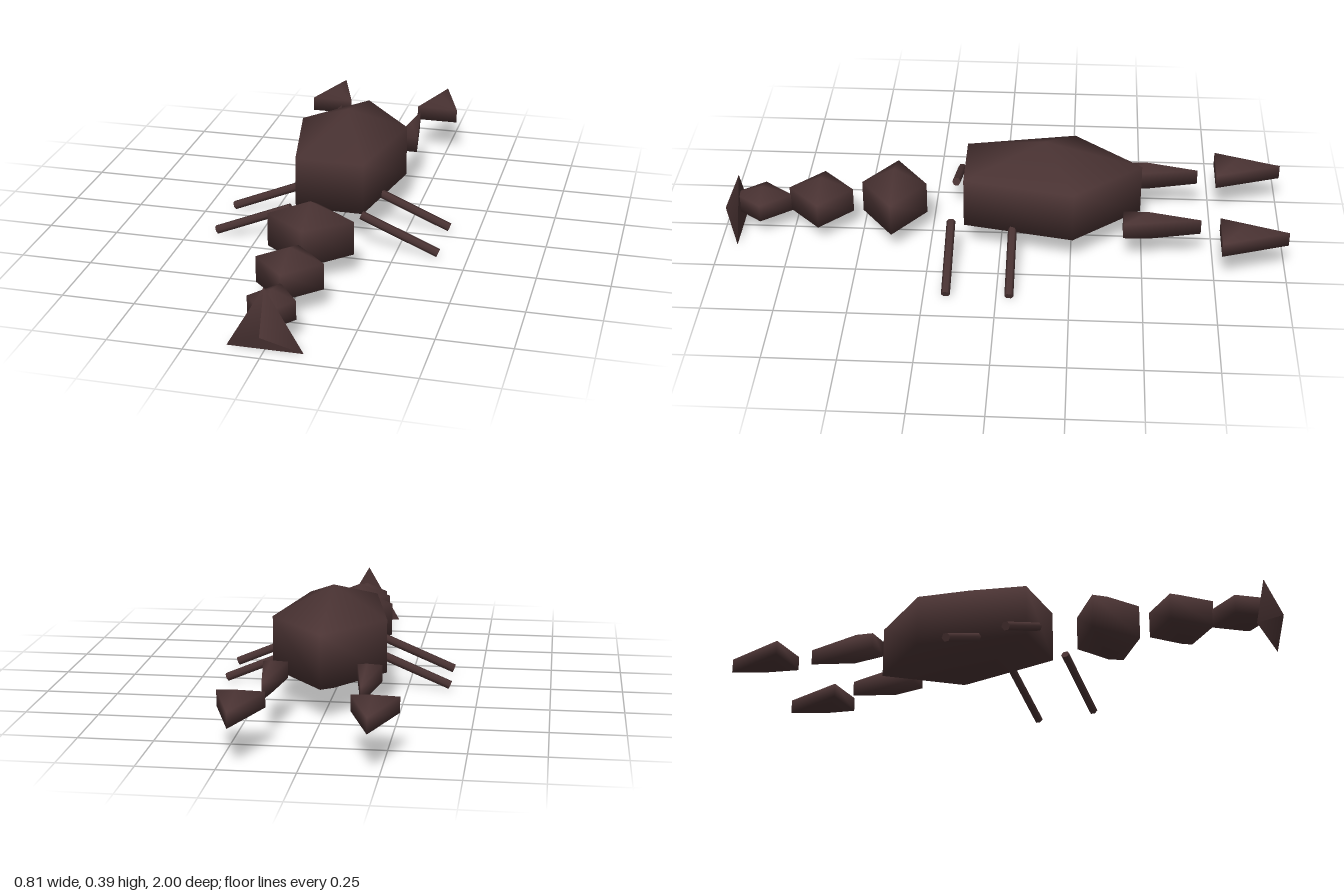
import * as THREE from 'three';

const shell = new THREE.MeshStandardMaterial({ color: 0x4a3333 });
shell.name = 'darkBrownShell';

export function createModel() {
  const model = new THREE.Group();
  model.name = 'lobster';

  const add = (name, geometry, x, y, z) => {
    const mesh = new THREE.Mesh(geometry, shell);
    mesh.name = name;
    mesh.position.set(x, y, z);
    model.add(mesh);
    return mesh;
  };

  // Coarse ellipsoid with few sides, one corner pointing to -z.
  // hx and hz are the corner-ring radii, hy the half height.
  const blob = (name, sides, [x, y, z], [hx, hy, hz]) => {
    const g = new THREE.SphereGeometry(1, sides, 3).rotateY(-Math.PI / 2);
    const ring = Math.sin(Math.PI / 3);
    g.scale(hx / ring, hy, hz / ring);
    return add(name, g, x, y, z);
  };

  // Body
  blob('body', 5, [0, 0.206, -0.15], [0.206, 0.185, 0.343]);

  // Tail segments, shrinking toward the fan
  blob('tailSegment1', 4, [0, 0.141, 0.383], [0.15, 0.12, 0.115]);
  blob('tailSegment2', 4, [0, 0.123, 0.647], [0.114, 0.092, 0.114]);
  blob('tailSegment3', 4, [0, 0.105, 0.86], [0.08, 0.065, 0.107]);

  // Tail fan: three-sided cone, one corner up
  const fan = new THREE.ConeGeometry(0.144, 0.06, 3).rotateX(Math.PI / 2);
  fan.rotateZ(Math.PI);
  fan.computeBoundingBox();
  // keep the single corner at the top
  if (fan.boundingBox.max.y < 0.1) fan.rotateZ(Math.PI);
  add('tailFan', fan, 0, 0.072, 0.97);

  for (const side of [-1, 1]) {
    const label = side > 0 ? 'left' : 'right';

    // Arms and claws
    blob(label + 'Arm', 3, [side * 0.158, 0.16, -0.52], [0.048, 0.056, 0.18]);
    blob(label + 'Claw', 3, [side * 0.212, 0.157, -0.845], [0.09, 0.052, 0.155]);

    // Two sloping legs
    [-0.045, 0.172].forEach((z, i) => {
      const inner = new THREE.Vector3(side * 0.126, 0.131, z);
      const outer = new THREE.Vector3(side * 0.399, 0.016, z);
      const dir = outer.clone().sub(inner);
      const leg = add(label + 'Leg' + (i + 1),
        new THREE.CylinderGeometry(0.0155, 0.0155, dir.length(), 6),
        (inner.x + outer.x) / 2, (inner.y + outer.y) / 2, z);
      leg.quaternion.setFromUnitVectors(new THREE.Vector3(0, 1, 0), dir.normalize());
    });
  }
  return model;
}
